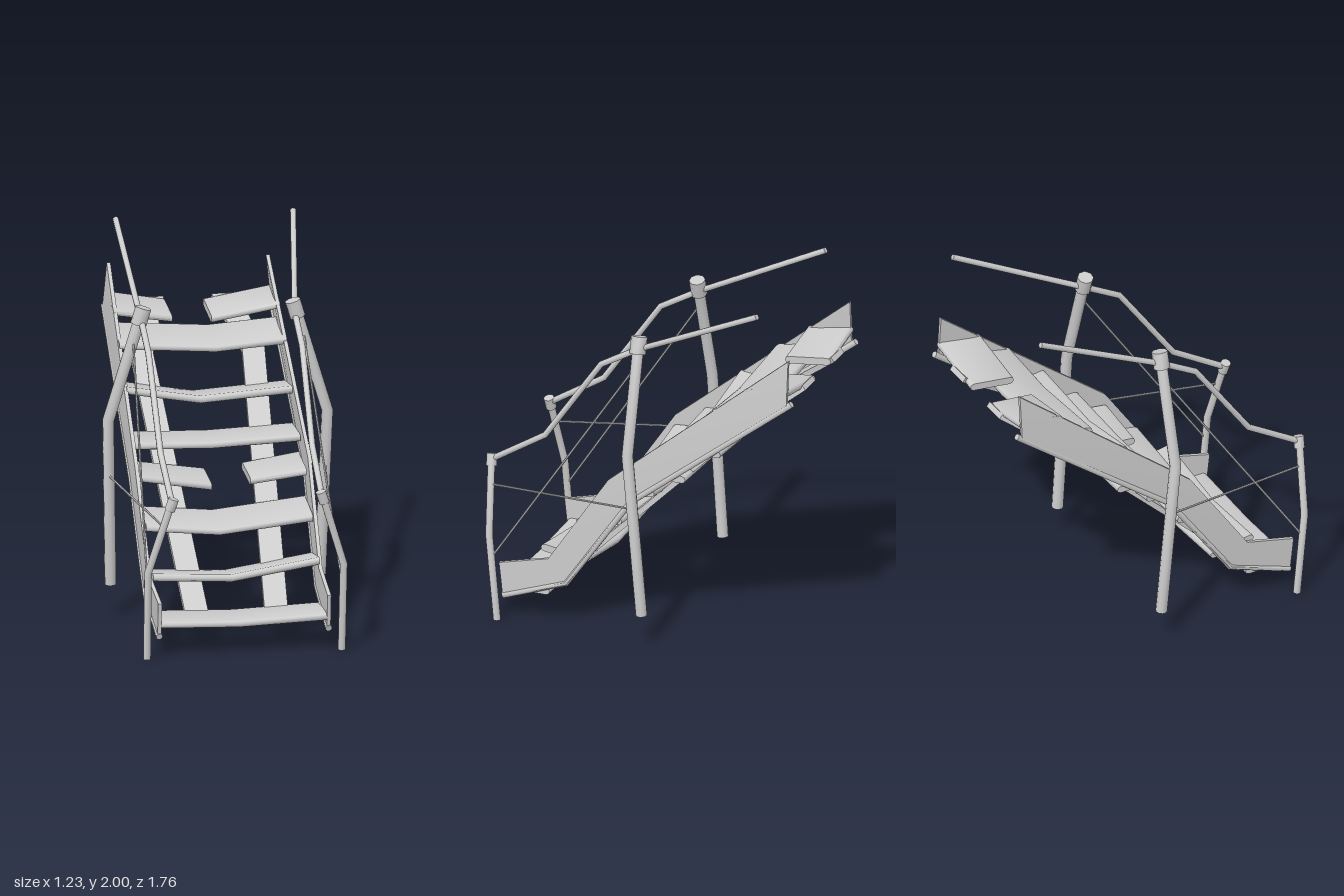
import * as THREE from 'three';
import { toCreasedNormals } from 'three/addons/utils/BufferGeometryUtils.js';

const V = (x, y, z) => new THREE.Vector3(x, y, z);
const material = new THREE.MeshStandardMaterial({ color: 0xcccccc });

// Solid skinned over closed rings of points, with capped ends, always facing outwards
function loft(name, rings) {
  const n = rings[0].length, last = rings.length - 1, tris = [];
  for (let i = 0; i < last; i++) {
    for (let j = 0; j < n; j++) {
      const k = (j + 1) % n;
      const a = rings[i][j], b = rings[i][k], c = rings[i + 1][k], d = rings[i + 1][j];
      tris.push([a, b, c], [a, c, d]);
    }
  }
  for (let j = 1; j < n - 1; j++) {
    tris.push([rings[0][0], rings[0][j + 1], rings[0][j]]);
    tris.push([rings[last][0], rings[last][j], rings[last][j + 1]]);
  }
  let volume = 0;
  for (const [a, b, c] of tris) volume += a.dot(b.clone().cross(c));
  if (volume < 0) tris.forEach((t) => t.reverse());
  const geometry = new THREE.BufferGeometry().setFromPoints(tris.flat());
  const mesh = new THREE.Mesh(toCreasedNormals(geometry, 0.8), material);
  mesh.name = name;
  return mesh;
}

// Round bar along a bent path, mitred at the bends
function bar(name, points, radius, sides = 10) {
  const p = points.map((q) => V(...q));
  const rings = p.map((c, i) => {
    const t0 = c.clone().sub(p[Math.max(i - 1, 0)]).normalize();
    const t1 = p[Math.min(i + 1, p.length - 1)].clone().sub(c).normalize();
    const t = t0.add(t1).normalize();
    const u = V(1, 0, 0).addScaledVector(t, -t.x).normalize();
    const v = t.clone().cross(u);
    return Array.from({ length: sides }, (_, j) => {
      const a = ((j + 0.5) / sides) * Math.PI * 2;
      return c.clone().addScaledVector(u, Math.cos(a) * radius).addScaledVector(v, Math.sin(a) * radius);
    });
  });
  return loft(name, rings);
}

// Sagging plank with rounded long edges; stations are [x, front y, back y]
function tread(name, zFront, stations) {
  const depth = 0.26, r = 0.02;
  return loft(name, stations.map(([x, yf, yb]) => {
    const tilt = Math.atan2(yb - yf, depth);
    const ring = [];
    for (const end of [0, 1]) {
      const cz = end ? zFront - depth + r : zFront - r;
      const cy = end ? yb : yf;
      for (let i = 0; i <= 4; i++) {
        const a = -Math.PI / 2 + (i / 4) * Math.PI + end * Math.PI + tilt * -1;
        ring.push(V(x, cy + Math.sin(a) * r, cz + Math.cos(a) * r));
      }
    }
    return ring;
  }));
}

// Parts that occur on both sides; s = 1 left, -1 right
function buildSide(s) {
  const side = new THREE.Group();
  side.name = s > 0 ? 'leftSide' : 'rightSide';
  const add = (name, points, r, sides) =>
    side.add(bar(name, points.map(([x, y, z]) => [x * s, y, z]), r, sides));

  // Stringer plate: [upper x, y, z, lower x, y, z]
  const stations = [
    [0.452, 0.30, 0.79, 0.452, 0.12, 0.77],
    [0.457, 0.37, 0.51, 0.457, 0.24, 0.40],
    [0.462, 0.88, 0.167, 0.465, 0.76, 0.035],
    [0.425, 1.71, -0.84, 0.45, 1.46, -0.84],
  ];
  const h = 0.01;
  side.add(loft('stringerPlate', stations.map(([ux, uy, uz, lx, ly, lz]) => [
    V(s * (ux - h), uy, uz), V(s * (ux + h), uy, uz),
    V(s * (lx + h), ly, lz), V(s * (lx - h), ly, lz),
  ])));
  add('stringerRail', [[0.452, 0.115, 0.77], [0.457, 0.245, 0.41], [0.465, 0.775, 0.04], [0.445, 1.475, -0.865]], 0.018, 8);

  // Posts and their caps
  add('mainPost', [[0.56, 0.18, -0.06], [0.585, 1.09, 0.01], [0.412, 1.66, 0.018]], 0.031);
  add('mainPostCap', [[0.425, 1.61, 0.018], [0.398, 1.70, 0.019]], 0.043, 8);
  add('frontPost', [[0.52, 0, 0.777], [0.522, 0.48, 0.821], [0.405, 0.86, 0.856]], 0.02);
  add('frontPostCap', [[0.413, 0.825, 0.853], [0.392, 0.888, 0.859]], 0.028, 8);

  // Handrail between the posts and the loose rail above
  add('handrail', [[0.40, 0.86, 0.855], [0.405, 1.05, 0.55], [0.41, 1.51, 0.23], [0.41, 1.63, 0.02]], 0.017, 8);
  add('upperRail', [[0.41, 1.63, 0.02], [s > 0 ? 0.535 : 0.413, 1.985, -0.705]], 0.016, 8);

  // Bracing ropes
  add('levelRope', [[0.445, 0.735, 0.835], [0.575, 0.785, 0.015]], 0.006, 6);
  add('diagonalRope', [[0.52, 0.355, 0.805], [0.455, 1.52, 0.035]], 0.006, 6);

  // Flat bent beam beneath the treads: [inner x, outer x, y, z]
  const beam = [[0.15, 0.275, 0.155, 0.53], [0.237, 0.358, 1.26, -0.58], [0.128, 0.268, 1.485, -0.87]];
  side.add(loft('underBeam', beam.map(([x0, x1, y, z]) => [
    V(s * x0, y, z), V(s * x1, y, z), V(s * x1, y + 0.024, z + 0.018), V(s * x0, y + 0.024, z + 0.018),
  ])));
  return side;
}

export function createModel() {
  const model = new THREE.Group();
  model.name = 'brokenStaircase';
  model.add(buildSide(1), buildSide(-1));

  // Whole treads: [front z, right end y, middle x, middle y, left end y, rise to back]
  const whole = [
    [0.77, 0.175, -0.02, 0.16, 0.175, -0.003],
    [0.56, 0.375, -0.02, 0.35, 0.42, -0.035],
    [0.36, 0.59, -0.05, 0.55, 0.60, 0.04],
    [0, 0.937, -0.02, 0.922, 0.938, 0],
    [-0.2, 1.185, -0.05, 1.115, 1.145, -0.03],
    [-0.41, 1.37, 0.07, 1.33, 1.355, 0.05],
  ];
  for (const [z, yr, mx, my, yl, rise] of whole) {
    model.add(tread('tread', z, [[-0.445, yr, yr + rise], [mx, my, my + rise], [0.445, yl, yl + rise]]));
  }

  // Snapped treads whose inner ends droop
  model.add(
    tread('brokenTreadLowerRight', 0.175, [[-0.445, 0.81, 0.825], [-0.06, 0.745, 0.765]]),
    tread('brokenTreadLowerLeft', 0.175, [[0.445, 0.80, 0.83], [0.145, 0.765, 0.785]]),
    tread('brokenTreadUpperRight', -0.59, [[-0.445, 1.505, 1.54], [-0.13, 1.455, 1.48]]),
    tread('brokenTreadUpperLeft', -0.59, [[0.445, 1.5, 1.53], [0.08, 1.44, 1.47]]),
  );
  return model;
}
